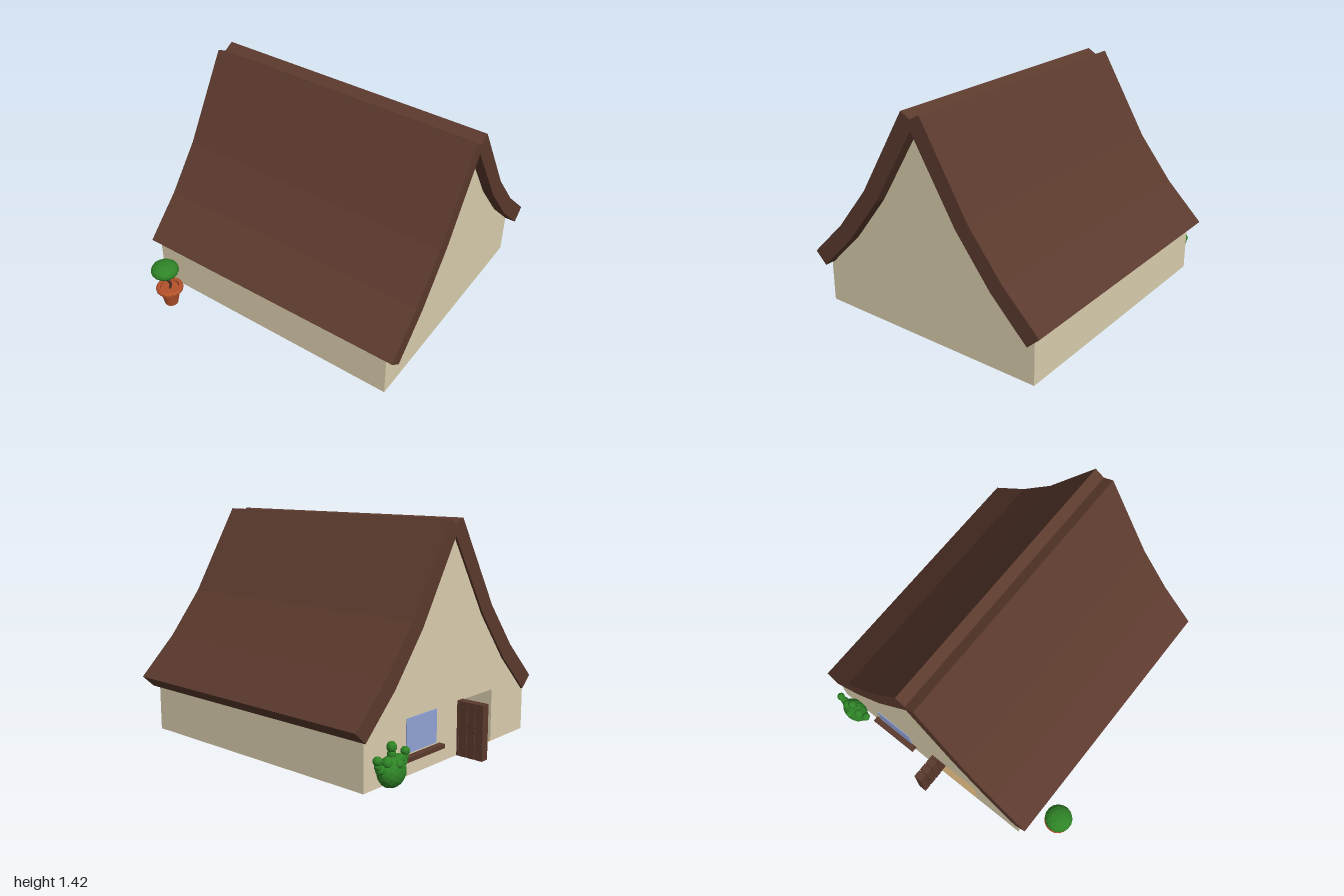
import * as THREE from 'three';

const mat = (color, side = THREE.FrontSide) => new THREE.MeshStandardMaterial({ color, side, flatShading: true });
const WALL = mat(0xdccfaf), ROOF = mat(0x5c3a2e), WOOD = mat(0x4d2f26), FLOOR = mat(0xb89868);
const GLASS = mat(0x93a5d8), CLAY = mat(0xb5522a, THREE.DoubleSide), LEAF = mat(0x2f8427), RUG = mat(0x8c2f20);
const RIDGE = 0.10; // x of the ridge line, the house is symmetric about it

function add(parent, name, geo, material, x = 0, y = 0, z = 0) {
  const m = new THREE.Mesh(geo, material);
  m.name = name;
  m.position.set(x, y, z);
  parent.add(m);
  return m;
}

// box given by its minimum and maximum corners
function boxBetween(parent, name, material, [x0, y0, z0], [x1, y1, z1]) {
  return add(parent, name, new THREE.BoxGeometry(x1 - x0, y1 - y0, z1 - z0), material,
    (x0 + x1) / 2, (y0 + y1) / 2, (z0 + z1) / 2);
}

// outline in the xy plane swept from z0 to z1
function sweep(parent, name, points, z0, z1, material) {
  const shape = new THREE.Shape(points.map(([x, y]) => new THREE.Vector2(x, y)));
  return add(parent, name, new THREE.ExtrudeGeometry(shape, { depth: z1 - z0, bevelEnabled: false }), material, 0, 0, z0);
}

function blob(parent, name, r, x, y, z, sy = 1, sz = 1, detail = 2) {
  const m = add(parent, name, new THREE.IcosahedronGeometry(r, detail), LEAF, x, y, z);
  m.scale.set(1, sy, sz);
  return m;
}

function makeRoof() {
  const g = new THREE.Group();
  g.name = 'roof';
  const slope = [[0, 1.385], [0.065, 1.42], [0.385, 0.885], [0.605, 0.61], [0.85, 0.37],
    [0.77, 0.295], [0.53, 0.535], [0.295, 0.835], [0, 1.32]];
  for (const s of [-1, 1]) {
    sweep(g, s > 0 ? 'leftRoofSlope' : 'rightRoofSlope', slope.map(([x, y]) => [RIDGE + s * x, y]), -0.835, 1, ROOF);
  }
  return g;
}

function makeWalls() {
  const g = new THREE.Group();
  g.name = 'walls';
  // gable top edge, tucked slightly into the roof slabs
  const top = [[0.87, 0.31], [0.63, 0.545], [0.395, 0.845], [0.10, 1.335], [-0.195, 0.845], [-0.43, 0.545], [-0.69, 0.31]];
  const doorway = [[-0.33, 0.02], [-0.33, 0.35], [-0.02, 0.35], [-0.02, 0.02]];
  sweep(g, 'frontGable', [[-0.69, 0.02], [0.87, 0.02], ...top], 0.83, 0.93, WALL);
  sweep(g, 'backGable', [[-0.69, 0.02], ...doorway, [0.87, 0.02], ...top], -0.82, -0.72, WALL);
  boxBetween(g, 'rightWall', WALL, [-0.69, 0.02, -0.72], [-0.59, 0.31, 0.83]);
  boxBetween(g, 'leftWall', WALL, [0.77, 0.02, -0.72], [0.87, 0.31, 0.83]);
  return g;
}

function makeDoor() {
  const g = new THREE.Group();
  g.name = 'openDoor';
  const n = 5, w = 0.28 / n;
  boxBetween(g, 'doorCore', WOOD, [-0.012, 0.025, -0.995], [0.027, 0.35, -0.72]);
  for (let i = 0; i < n; i++) {
    const z = -1 + i * w;
    boxBetween(g, 'doorPlank', ROOF, [-0.02, 0.02, z], [0.035, 0.355, z + w - 0.006]);
  }
  for (const x of [-0.028, 0.043]) add(g, 'doorKnob', new THREE.SphereGeometry(0.011, 8, 6), WOOD, x, 0.19, -0.95);
  return g;
}

function makeWindow() {
  const g = new THREE.Group();
  g.name = 'window';
  boxBetween(g, 'windowPane', GLASS, [0.24, 0.15, -0.825], [0.515, 0.35, -0.8]);
  boxBetween(g, 'windowLedge', ROOF, [0.205, 0.115, -0.86], [0.555, 0.14, -0.8]);
  return g;
}

function makeInterior() {
  const g = new THREE.Group();
  g.name = 'interior';
  boxBetween(g, 'floor', FLOOR, [-0.6, 0.021, -0.73], [0.78, 0.035, 0.84]);
  boxBetween(g, 'doorSill', FLOOR, [-0.33, 0.021, -0.82], [-0.02, 0.035, -0.72]);
  boxBetween(g, 'rug', RUG, [-0.3, 0.035, -0.33], [0.5, 0.04, 0.55]);
  // small table whose feet reach just below the floor
  add(g, 'tableTop', new THREE.CylinderGeometry(0.13, 0.13, 0.02, 12), WOOD, 0.01, 0.2, 0.2);
  add(g, 'tableColumn', new THREE.CylinderGeometry(0.02, 0.025, 0.16, 8), WOOD, 0.01, 0.115, 0.2);
  for (const dx of [-0.03, 0.03]) for (const dz of [-0.03, 0.03]) {
    add(g, 'tableFoot', new THREE.CylinderGeometry(0.008, 0.008, 0.06, 6), WOOD, 0.01 + dx, 0.03, 0.2 + dz);
  }
  return g;
}

function makePottedTree() {
  const g = new THREE.Group();
  g.name = 'pottedTree';
  const profile = [[0, 0], [0.043, 0], [0.066, 0.11], [0.08, 0.112], [0.088, 0.122], [0.088, 0.137],
    [0.078, 0.147], [0.062, 0.147], [0.058, 0.125], [0, 0.125]].map(([r, y]) => new THREE.Vector2(r, y));
  add(g, 'pot', new THREE.LatheGeometry(profile, 16), CLAY);
  const path = new THREE.CatmullRomCurve3([[0, 0.12, 0], [0.008, 0.16, 0.004], [-0.006, 0.2, -0.004], [-0.006, 0.26, -0.01]]
    .map(p => new THREE.Vector3(...p)));
  add(g, 'trunk', new THREE.TubeGeometry(path, 10, 0.009, 6), WOOD);
  blob(g, 'leafTuft', 0.022, -0.003, 0.215, 0, 0.6, 1, 1);
  blob(g, 'crown', 0.09, -0.008, 0.285, -0.012, 0.6);
  g.position.set(-0.857, 0.02, -0.613);
  return g;
}

function makeBush() {
  const g = new THREE.Group();
  g.name = 'bush';
  blob(g, 'bushBody', 0.095, 0, 0.1, 0, 0.95, 0.74);
  blob(g, 'bushTopStem', 0.025, 0, 0.195, 0, 1.3, 1, 1);
  blob(g, 'bushTopTip', 0.029, 0, 0.235, 0, 1.15, 1, 1);
  for (const s of [-1, 1]) {
    blob(g, 'bushArm', 0.034, s * 0.09, 0.13, 0, 0.8, 0.8, 1);
    blob(g, 'bushArmStem', 0.022, s * 0.112, 0.155, 0, 1.2, 1, 1);
    blob(g, 'bushArmTip', 0.027, s * 0.115, 0.185, 0, 1, 1, 1);
    blob(g, 'bushShoulder', 0.032, s * 0.05, 0.16, -0.012, 1, 1, 1);
  }
  blob(g, 'bushKnob', 0.026, 0, 0.15, -0.048, 1, 1, 1);
  g.position.set(0.712, 0.018, -0.88);
  return g;
}

export function createModel() {
  const model = new THREE.Group();
  model.name = 'cottage';
  model.add(makeRoof(), makeWalls(), makeDoor(), makeWindow(), makeInterior(), makePottedTree(), makeBush());
  return model;
}
